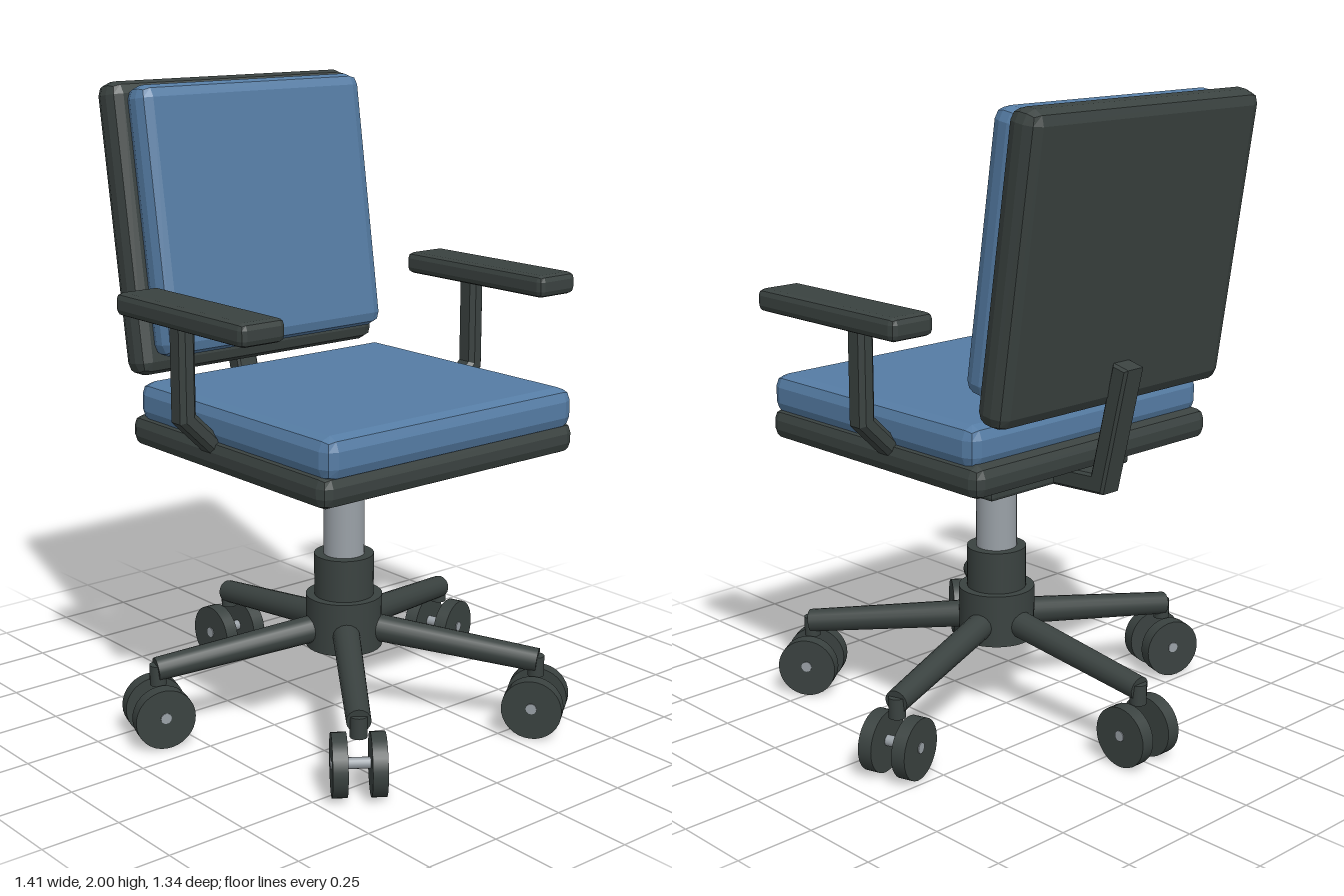
import * as THREE from 'three';
import { RoundedBoxGeometry } from 'three/addons/geometries/RoundedBoxGeometry.js';

export function createModel() {
  const chair = new THREE.Group();
  chair.name = 'officeChair';

  const material = (name, color) => {
    const m = new THREE.MeshStandardMaterial({ color });
    m.name = name;
    return m;
  };
  const plastic = material('darkPlastic', 0x3a4240);
  const fabric = material('blueFabric', 0x557ca4);
  const metal = material('greyMetal', 0x9aa1a7);

  const add = (parent, name, geometry, mat, x = 0, y = 0, z = 0) => {
    const mesh = new THREE.Mesh(geometry, mat);
    mesh.name = name;
    mesh.position.set(x, y, z);
    parent.add(mesh);
    return mesh;
  };
  const group = (parent, name, x = 0, y = 0, z = 0) => {
    const g = new THREE.Group();
    g.name = name;
    g.position.set(x, y, z);
    parent.add(g);
    return g;
  };

  // Box with faceted, chamfered edges
  const pad = (w, h, d, r) => {
    const g = new RoundedBoxGeometry(w, h, d, 1, r);
    g.computeVertexNormals();
    return g;
  };

  // Bent bar: a strip of even thickness along a path, extruded to a width
  const bentBar = (path, thickness, width, bevel) => {
    const pts = path.map(([x, y]) => new THREE.Vector2(x, y));
    const dirs = pts.slice(1).map((p, i) => p.clone().sub(pts[i]).normalize());
    const sides = pts.map((p, i) => {
      const a = dirs[Math.max(i - 1, 0)], b = dirs[Math.min(i, dirs.length - 1)];
      const n = new THREE.Vector2(-a.y - b.y, a.x + b.x).normalize();
      const half = thickness / 2 / n.dot(new THREE.Vector2(-a.y, a.x));
      return [p.clone().addScaledVector(n, half), p.clone().addScaledVector(n, -half)];
    });
    const outline = [...sides.map(s => s[0]), ...sides.map(s => s[1]).reverse()];
    const g = new THREE.ExtrudeGeometry(new THREE.Shape(outline), {
      depth: width - 2 * bevel, bevelEnabled: true, bevelSegments: 1,
      bevelSize: bevel, bevelThickness: bevel, bevelOffset: -bevel,
    });
    return g.translate(0, 0, bevel - width / 2);
  };

  // Star base: hub, gas column and five legs
  const base = group(chair, 'base', 0, 0, 0.045);
  add(base, 'hub', new THREE.CylinderGeometry(0.122, 0.122, 0.17, 32), plastic, 0, 0.315, 0);
  add(base, 'hubCollar', new THREE.CylinderGeometry(0.095, 0.095, 0.135, 32), plastic, 0, 0.4675, 0);
  add(base, 'gasColumn', new THREE.CylinderGeometry(0.065, 0.065, 0.3, 32), metal, 0, 0.67, 0);

  const legStart = new THREE.Vector3(0, 0.3, 0.05);
  const legEnd = new THREE.Vector3(0, 0.232, 0.625);
  const legDir = legEnd.clone().sub(legStart);
  const legGeo = new THREE.CylinderGeometry(0.037, 0.044, legDir.length(), 16);
  const stemGeo = new THREE.CylinderGeometry(0.026, 0.026, 0.065, 16);
  const axleGeo = new THREE.CylinderGeometry(0.017, 0.017, 0.166, 16).rotateZ(Math.PI / 2);
  const R = 0.095, W = 0.0225;
  const wheelGeo = new THREE.CylinderGeometry(R, R, 2 * W, 32).rotateZ(Math.PI / 2);
  for (let i = 0; i < 5; i++) {
    const arm = group(base, 'legAndCaster' + (i + 1));
    arm.rotation.y = Math.PI + (i * Math.PI * 2) / 5;
    const leg = add(arm, 'leg', legGeo, plastic);
    leg.position.copy(legStart).add(legEnd).multiplyScalar(0.5);
    leg.quaternion.setFromUnitVectors(new THREE.Vector3(0, 1, 0), legDir.clone().normalize());
    add(arm, 'casterStem', stemGeo, plastic, 0, 0.215, 0.62);
    add(arm, 'casterAxle', axleGeo, metal, 0, 0.1, 0.62);
    for (const s of [-1, 1]) add(arm, 'casterWheel', wheelGeo, plastic, s * 0.0575, R, 0.62);
  }

  // Seat
  const seat = group(chair, 'seat');
  add(seat, 'seatMechanism', pad(0.6, 0.085, 0.59, 0.012), plastic, 0, 0.85, 0.045);
  add(seat, 'seatPan', pad(1.0, 0.1, 0.955, 0.035), plastic, 0, 0.933, 0.0775);
  add(seat, 'seatCushion', pad(0.98, 0.13, 0.93, 0.04), fabric, 0, 1.027, 0.095);

  // Backrest, leaning backwards
  const back = group(chair, 'backrest', 0, 1.545, -0.478);
  back.rotation.x = -0.152;
  add(back, 'backShell', pad(0.95, 0.91, 0.11, 0.04), plastic);
  add(back, 'backCushion', pad(0.87, 0.835, 0.11, 0.04), fabric, 0, 0.016, 0.1);

  // Bent bar joining the seat to the backrest
  const bar = add(chair, 'backSupport',
    bentBar([[0, 0.826], [0.425, 0.848], [0.512, 1.222]], 0.06, 0.08, 0.008), plastic);
  bar.rotation.y = Math.PI / 2;

  // Armrests
  for (const s of [-1, 1]) {
    const armrest = group(chair, s > 0 ? 'leftArmrest' : 'rightArmrest');
    const path = [[s * 0.578, 1.36], [s * 0.578, 1.06], [s * 0.46, 0.945]];
    add(armrest, 'armPost', bentBar(path, 0.056, 0.072, 0.014), plastic, 0, 0, 0.004);
    add(armrest, 'armPad', pad(0.157, 0.07, 0.625, 0.02), plastic, s * 0.577, 1.375, 0.0825);
  }

  return chair;
}
